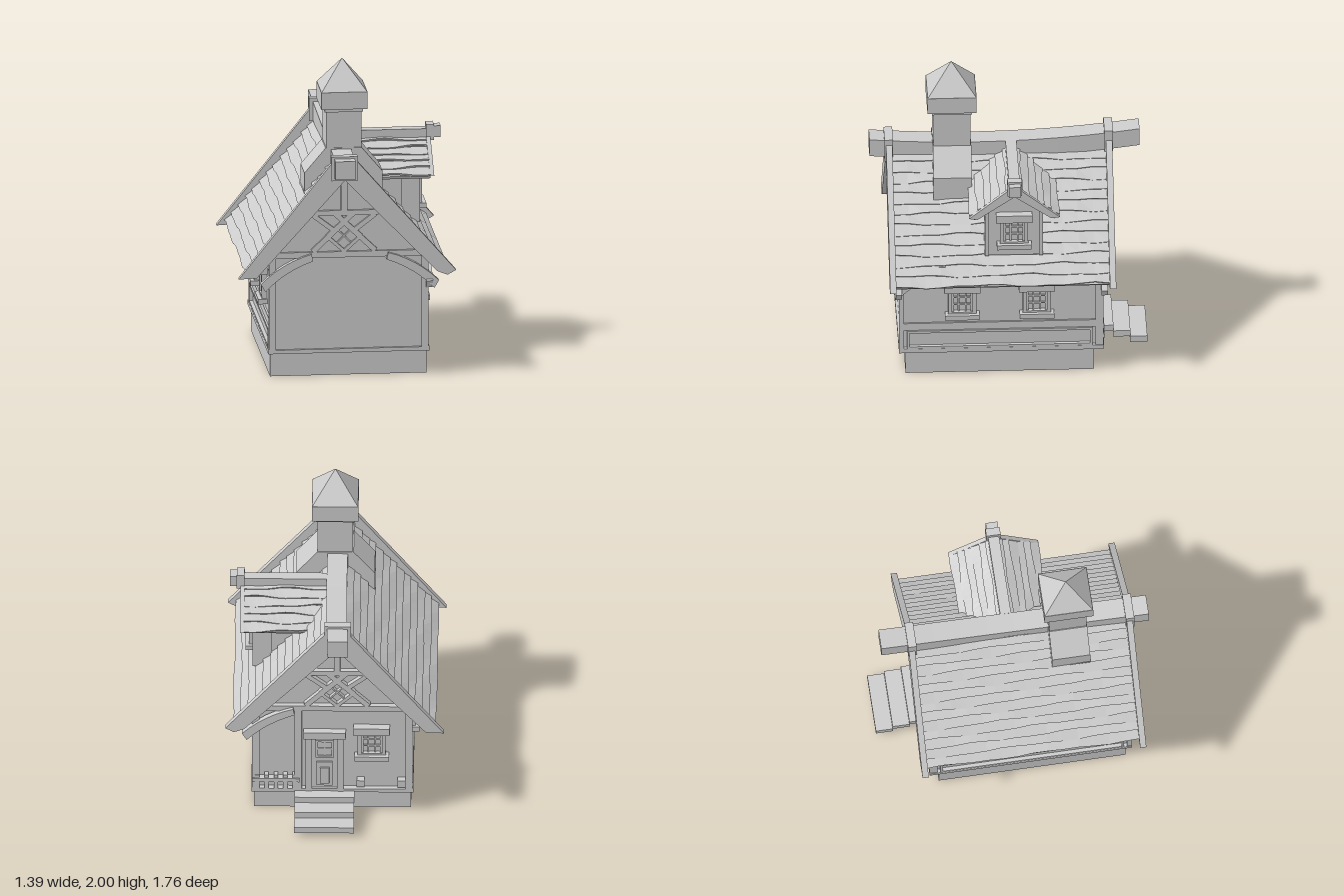
import * as THREE from 'three';

const mat = new THREE.MeshStandardMaterial({ color: 0xcccccc, flatShading: true });

function add(parent, geo, name) {
  const mesh = new THREE.Mesh(geo, mat);
  mesh.name = name;
  parent.add(mesh);
  return mesh;
}

// Box given by its lower and upper corners
function box(parent, name, x0, x1, y0, y1, z0, z1) {
  const mesh = add(parent, new THREE.BoxGeometry(x1 - x0, y1 - y0, z1 - z0), name);
  mesh.position.set((x0 + x1) / 2, (y0 + y1) / 2, (z0 + z1) / 2);
  return mesh;
}

// Straight timber between two points of an x-y plane
function beam(parent, name, a, b, width, z0, z1) {
  const dx = b[0] - a[0], dy = b[1] - a[1];
  const mesh = add(parent, new THREE.BoxGeometry(Math.hypot(dx, dy), width, z1 - z0), name);
  mesh.position.set((a[0] + b[0]) / 2, (a[1] + b[1]) / 2, (z0 + z1) / 2);
  mesh.rotation.z = Math.atan2(dy, dx);
  return mesh;
}

// Flat outline extruded from z0 to z1
function prism(parent, name, pts, z0, z1) {
  const shape = new THREE.Shape(pts.map(p => new THREE.Vector2(p[0], p[1])));
  const geo = new THREE.ExtrudeGeometry(shape, { depth: z1 - z0, bevelEnabled: false });
  return add(parent, geo.translate(0, 0, z0), name);
}

// Roof side: a deck carrying overlapping wavy rows of planks from eave to ridge
function roofSide(parent, name, eave, ridge, rows, z0, z1) {
  const group = new THREE.Group();
  group.name = name;
  parent.add(group);
  const len = Math.hypot(ridge[0] - eave[0], ridge[1] - eave[1]);
  const dx = (ridge[0] - eave[0]) / len, dy = (ridge[1] - eave[1]) / len;
  const s = Math.sign(dx), nx = -s * dy, ny = s * dx;
  const lower = p => [p[0] - nx * 0.022, p[1] - ny * 0.022];
  beam(group, 'roofDeck', lower(eave), lower(ridge), 0.025, z0, z1);
  const step = len / rows;
  for (let i = 0; i < rows; i++) {
    const geo = new THREE.BoxGeometry(1, 1, z1 - z0, 1, 1, 14);
    const p = geo.attributes.position;
    for (let k = 0; k < p.count; k++) {
      const z = p.getZ(k) + (z0 + z1) / 2, u = s * p.getX(k), v = p.getY(k);
      const wave = Math.sin(z * 9 + i * 2.3) + 0.6 * Math.sin(z * 21 + i * 4.1);
      const low = u < 0;
      const t = (i + (low ? 0 : 1.15)) * step + (low ? 0.007 * wave : 0);
      const h = v * 0.016 + (low ? 0.008 + 0.003 * wave : -0.008);
      p.setXYZ(k, eave[0] + dx * t + nx * h, eave[1] + dy * t + ny * h, z);
    }
    geo.computeVertexNormals();
    add(group, geo, 'plankRow');
  }
}

// Nine-pane window facing +z, centred on its own origin
function makeWindow(parent, x, y, z, angle) {
  const g = new THREE.Group();
  g.name = 'window';
  g.position.set(x, y, z);
  g.rotation.y = angle;
  parent.add(g);
  box(g, 'lintel', -0.115, 0.115, 0.08, 0.132, -0.01, 0.055);
  box(g, 'sill', -0.11, 0.11, -0.115, -0.082, -0.01, 0.06);
  box(g, 'sillBlock', -0.09, 0.09, -0.082, -0.07, -0.01, 0.035);
  for (const s of [-1, 1]) {
    box(g, 'jamb', s * 0.077 - 0.012, s * 0.077 + 0.012, -0.08, 0.08, -0.01, 0.035);
    box(g, 'verticalBar', s * 0.023 - 0.005, s * 0.023 + 0.005, -0.07, 0.08, -0.01, 0.018);
    box(g, 'horizontalBar', -0.066, 0.066, s * 0.026, s * 0.026 + 0.01, -0.01, 0.018);
    box(g, 'sash', s * 0.06 - 0.007, s * 0.06 + 0.007, -0.07, 0.08, -0.01, 0.024);
  }
  box(g, 'glass', -0.066, 0.066, -0.07, 0.08, -0.01, 0.006);
}

// Curved bracket under a roof corner; side is +1 or -1
function bracket(parent, side, z0, z1) {
  const s = new THREE.Shape(), X = x => 0.015 + side * x;
  s.moveTo(X(0.245), 0.81);
  s.quadraticCurveTo(X(0.43), 0.76, X(0.57), 0.62);
  s.lineTo(X(0.54), 0.57);
  s.quadraticCurveTo(X(0.42), 0.70, X(0.235), 0.765);
  const geo = new THREE.ExtrudeGeometry(s, { depth: z1 - z0, bevelEnabled: false, curveSegments: 6 });
  return add(parent, geo.translate(0, 0, z0), 'cornerBracket');
}

// Timber framing of one gable end
function gableFrame(parent, z0, z1) {
  const c = -0.02;
  box(parent, 'tieBeam', -0.5, 0.51, 0.78, 0.818, z0, z1);
  box(parent, 'groundBeam', -0.5, 0.52, 0.155, 0.18, z0, z1);
  box(parent, 'collarBeam', -0.24, 0.2, 1.055, 1.088, z0, z1);
  box(parent, 'kingPost', c - 0.02, c + 0.02, 1.08, 1.32, z0, z1);
  for (const s of [-1, 1]) {
    box(parent, 'cornerPost', s > 0 ? 0.475 : -0.5, s > 0 ? 0.52 : -0.455, 0.16, 0.79, z0, z1);
    beam(parent, 'brace', [c + s * 0.2, 0.82], [c - s * 0.06, 1.07], 0.034, z0, z1);
    beam(parent, 'upperBrace', [c + s * 0.2, 1.06], [c + s * 0.07, 0.96], 0.03, z0, z1 );
    beam(parent, 'diamondFrame', [c + s * 0.11, 0.92], [c, 0.82], 0.022, z0, z1);
    beam(parent, 'diamondFrame', [c + s * 0.11, 0.92], [c, 1.02], 0.022, z0, z1);
    beam(parent, 'diamondBar', [c - s * 0.055, 0.865], [c + s * 0.055, 0.975], 0.01, z0 + 0.006, z1 - 0.006);
  }
}

// Sloping boards at a gable end of the main roof
function bargeBoards(parent, z0, z1) {
  prism(parent, 'bargeBoard', [[-0.7, 0.667], [-0.585, 0.672], [-0.02, 1.3], [-0.02, 1.45], [-0.1, 1.42]], z0, z1);
  prism(parent, 'bargeBoard', [[0.69, 0.695], [0.06, 1.42], [-0.02, 1.45], [-0.02, 1.3], [0.57, 0.69], [0.635, 0.665]], z0, z1);
}

export function createModel() {
  const house = new THREE.Group();
  house.name = 'cottage';

  // Plinth and walls
  box(house, 'plinth', -0.49, 0.51, 0, 0.156, -0.53, 0.67);
  prism(house, 'walls', [[-0.48, 0.155], [0.5, 0.155], [0.5, 0.79], [-0.02, 1.33], [-0.48, 0.8]], -0.555, 0.695);
  gableFrame(house, 0.68, 0.712);
  gableFrame(house, -0.59, -0.54);

  // Long sides: beams, recessed panels and windows
  for (const s of [-1, 1]) {
    const xw = s > 0 ? 0.5 : -0.48;
    const strip = (name, y0, y1, z0, z1, d) =>
      box(house, name, Math.min(xw, xw + s * d), Math.max(xw, xw + s * d), y0, y1, z0, z1);
    strip('sideGroundBeam', 0.155, 0.185, -0.59, 0.712, 0.025);
    strip('sideRail', 0.315, 0.365, -0.54, 0.7, 0.012);
    strip('panelTop', 0.298, 0.315, -0.52, 0.66, 0.024);
    strip('panelBottom', 0.185, 0.2, -0.52, 0.66, 0.024);
    for (const z of [-0.52, 0.645]) strip('panelEnd', 0.185, 0.315, z, z + 0.015, 0.024);
    strip('wallPlate', 0.68, 0.72, -0.55, 0.7, 0.015);
    for (const z of [0.31, -0.165]) makeWindow(house, xw, 0.525, z, s * Math.PI / 2);
  }

  // Main roof
  const ridge = [-0.02, 1.4];
  roofSide(house, 'rightRoof', [0.63, 0.7], ridge, 14, -0.63, 0.74);
  roofSide(house, 'leftRoof', [-0.64, 0.69], ridge, 14, -0.63, 0.74);
  bargeBoards(house, 0.735, 0.775);
  bargeBoards(house, -0.665, -0.625);
  box(house, 'ridgeCollar', -0.108, 0.06, 1.3, 1.458, 0.73, 0.785);
  box(house, 'ridgeCollar', -0.108, 0.06, 1.34, 1.49, -0.67, -0.615);

  // Sagging ridge beam
  const ridgeGeo = new THREE.BoxGeometry(0.13, 0.12, 1.72, 1, 1, 10);
  const p = ridgeGeo.attributes.position;
  for (let i = 0; i < p.count; i++) {
    const z = p.getZ(i) + 0.02;
    p.setXYZ(i, p.getX(i) - 0.012 - 0.02 * z * z, p.getY(i) + 1.37 + 0.055 * z * z - 0.025 * z, z);
  }
  add(house, ridgeGeo, 'ridgeBeam');

  // Chimney with sloped shoulders and pyramid cap
  prism(house, 'chimneyBase', [[-0.25, 1.08], [0.25, 1.08], [0.25, 1.28], [0.115, 1.44], [-0.115, 1.44], [-0.25, 1.28]], 0.235, 0.48);
  box(house, 'chimneyStack', -0.11, 0.115, 1.4, 1.7, 0.24, 0.475);
  box(house, 'chimneyBand', -0.12, 0.125, 1.675, 1.7, 0.23, 0.485);
  box(house, 'chimneyCap', -0.145, 0.15, 1.7, 1.812, 0.202, 0.515);
  const spire = add(house, new THREE.ConeGeometry(Math.SQRT1_2, 0.19, 4).rotateY(Math.PI / 4), 'chimneySpire');
  spire.scale.set(0.295, 1, 0.313);
  spire.position.set(0.0025, 1.905, 0.3585);

  // Dormer, built facing +z and turned to face +x
  const dormer = new THREE.Group();
  dormer.name = 'dormer';
  dormer.rotation.y = Math.PI / 2;
  dormer.position.z = -0.02;
  house.add(dormer);
  prism(dormer, 'dormerWalls', [[-0.175, 0.86], [0.175, 0.86], [0.175, 1.23], [0, 1.36], [-0.175, 1.23]], 0.05, 0.512);
  for (const s of [-1, 1]) {
    box(dormer, 'dormerPost', s * 0.172 - 0.014, s * 0.172 + 0.014, 0.86, 1.24, 0.4, 0.522);
    roofSide(dormer, 'dormerRoof', [s * 0.275, 1.19], [0, 1.39], 6, 0.05, 0.58);
    prism(dormer, 'dormerBarge', [[s * 0.29, 1.185], [s * 0.235, 1.178], [0, 1.34], [0, 1.42]], 0.575, 0.602);
  }
  makeWindow(dormer, 0, 1.045, 0.51, 0);
  box(dormer, 'dormerRidge', -0.035, 0.035, 1.355, 1.432, 0.05, 0.58);
  box(dormer, 'dormerCollar', -0.046, 0.046, 1.36, 1.462, 0.575, 0.625);
  box(dormer, 'dormerBeamEnd', -0.038, 0.038, 1.375, 1.45, 0.6, 0.668);

  // Corner brackets
  bracket(house, 1, 0.695, 0.735);
  bracket(house, -1, 0.695, 0.735);
  bracket(house, 1, -0.615, -0.575);
  const sideBracket = bracket(house, -1, 0.505, 0.545);
  sideBracket.rotation.y = Math.PI / 2;
  sideBracket.position.z = 0.19;

  // Back: door, window, porch rail and steps
  const back = new THREE.Group();
  back.name = 'entrance';
  back.rotation.y = Math.PI;
  back.position.z = -0.555;
  house.add(back);
  const cx = -0.06;
  box(back, 'doorLeaf', cx - 0.085, cx + 0.085, 0.16, 0.58, -0.01, 0.015);
  box(back, 'doorHead', cx - 0.135, cx + 0.135, 0.57, 0.62, -0.01, 0.05);
  box(back, 'doorPanel', cx - 0.05, cx + 0.05, 0.2, 0.38, 0, 0.026);
  box(back, 'doorPanelInset', cx - 0.03, cx + 0.03, 0.22, 0.34, 0, 0.035);
  for (const s of [-1, 1]) {
    box(back, 'doorJamb', cx + s * 0.1 - 0.02, cx + s * 0.1 + 0.02, 0.16, 0.58, -0.01, 0.04);
    box(back, 'doorLightSide', cx + s * 0.05 - 0.007, cx + s * 0.05 + 0.007, 0.42, 0.54, 0, 0.026);
    box(back, 'doorLightRail', cx - 0.057, cx + 0.057, 0.473 + s * 0.06, 0.487 + s * 0.06, 0, 0.026);
  }
  box(back, 'doorLightBar', cx - 0.005, cx + 0.005, 0.42, 0.54, 0, 0.022);
  box(back, 'doorLightBar', cx - 0.05, cx + 0.05, 0.475, 0.485, 0, 0.022);
  makeWindow(back, 0.24, 0.525, 0, 0);
  box(back, 'porchPost', -0.25, -0.205, 0.16, 0.8, -0.01, 0.035);
  box(back, 'porchRail', -0.52, -0.22, 0.235, 0.262, -0.01, 0.045);
  for (let i = 0; i < 5; i++) {
    const x = -0.49 + i * 0.06;
    box(back, 'porchPicket', x - 0.013, x + 0.013, 0.17, 0.285, -0.01, 0.038);
  }
  for (const x of [0.17, 0.43]) box(back, 'wallBlock', x - 0.025, x + 0.025, 0.2, 0.25, -0.01, 0.045);
  for (let i = 0; i < 3; i++) {
    const z = -0.555 - i * 0.108;
    box(house, 'step', -0.13, 0.25, 0.122 - i * 0.042, 0.164 - i * 0.042, z - 0.11, z);
  }
  return house;
}
